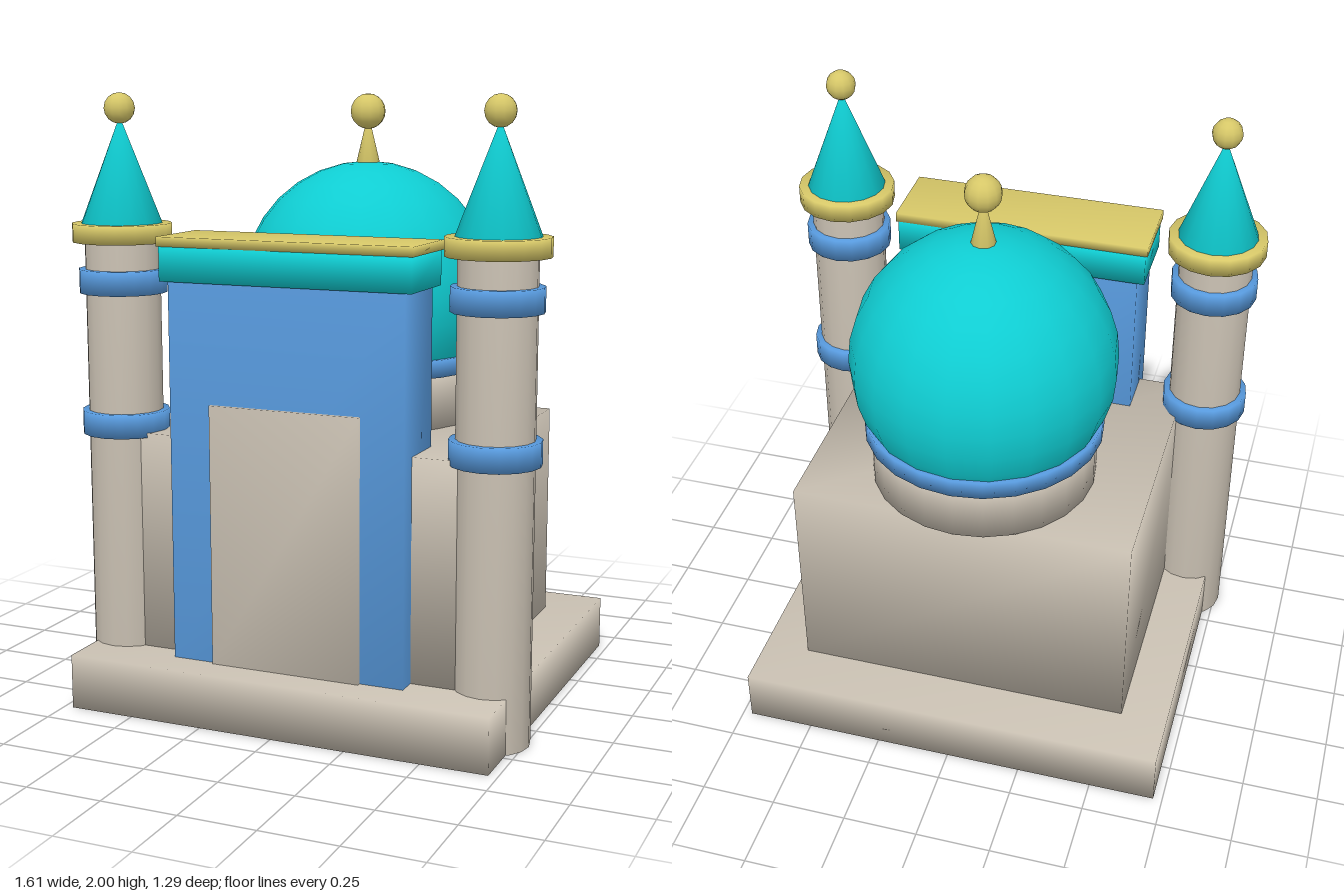
import * as THREE from 'three';
import { mergeVertices } from 'three/addons/utils/BufferGeometryUtils.js';

const paint = (name, color) => {
  const m = new THREE.MeshStandardMaterial({ color });
  m.name = name;
  return m;
};

// Weld all corners so that shading flows softly over the edges
function weld(geometry) {
  geometry.deleteAttribute('normal');
  geometry.deleteAttribute('uv');
  const g = mergeVertices(geometry, 1e-4);
  g.clearGroups();
  g.computeVertexNormals();
  return g;
}

export function createModel() {
  const stone = paint('stone', 0xc9c0b2);
  const teal = paint('teal', 0x0fcdd2);
  const blue = paint('blue', 0x5799dc);
  const gold = paint('gold', 0xd6c768);

  const add = (parent, name, geometry, material, x = 0, y = 0, z = 0) => {
    const mesh = new THREE.Mesh(weld(geometry), material);
    mesh.name = name;
    mesh.position.set(x, y, z);
    parent.add(mesh);
    return mesh;
  };
  // Box given by its half width and its y and z ranges
  const box = (parent, name, material, hx, y0, y1, z0, z1) =>
    add(parent, name, new THREE.BoxGeometry(hx * 2, y1 - y0, z1 - z0), material,
      0, (y0 + y1) / 2, (z0 + z1) / 2);
  // Upright round part given by its radii and y range
  const round = (parent, name, material, rTop, rBottom, y0, y1, sides) =>
    add(parent, name, new THREE.CylinderGeometry(rTop, rBottom, y1 - y0, sides), material,
      0, (y0 + y1) / 2, 0);
  const cone = (parent, name, material, r, y0, y1, sides) =>
    add(parent, name, new THREE.ConeGeometry(r, y1 - y0, sides), material, 0, (y0 + y1) / 2, 0);

  const model = new THREE.Group();
  model.name = 'domedShrine';

  // Plinth and main hall
  box(model, 'plinth', stone, 0.72, 0, 0.18, -0.645, 0.645);
  box(model, 'hall', stone, 0.565, 0.18, 0.905, -0.465, 0.46);

  // Entrance portal with its door panel running through
  const portal = new THREE.Group();
  portal.name = 'portal';
  box(portal, 'portalBlock', blue, 0.4, 0.18, 1.415, 0.29, 0.525);
  box(portal, 'doorPanel', stone, 0.255, 0.18, 1.03, 0.28, 0.538);
  box(portal, 'portalFrieze', teal, 0.425, 1.415, 1.525, 0.281, 0.537);
  box(portal, 'portalCornice', gold, 0.432, 1.525, 1.556, 0.278, 0.54);
  model.add(portal);

  // Drum, dome and finial
  const dome = new THREE.Group();
  dome.name = 'dome';
  dome.position.z = -0.158;
  round(dome, 'drum', stone, 0.372, 0.372, 0.905, 1.09, 24);
  round(dome, 'drumBand', blue, 0.393, 0.393, 1.08, 1.138, 24);
  add(dome, 'domeShell', new THREE.SphereGeometry(0.432, 20, 16), teal, 0, 1.338, 0);
  cone(dome, 'finialSpike', gold, 0.042, 1.755, 1.93, 10);
  add(dome, 'finialBall', new THREE.SphereGeometry(0.059, 12, 10), gold, 0, 1.936, 0);
  model.add(dome);

  // Pair of minarets
  for (const side of [-1, 1]) {
    const tower = new THREE.Group();
    tower.name = side > 0 ? 'leftMinaret' : 'rightMinaret';
    tower.position.set(side * 0.643, 0, 0.385);
    round(tower, 'shaft', stone, 0.123, 0.123, 0, 1.53, 16);
    round(tower, 'lowerBand', blue, 0.144, 0.144, 0.89, 0.968, 16);
    round(tower, 'upperBand', blue, 0.144, 0.144, 1.356, 1.434, 16);
    round(tower, 'balcony', gold, 0.163, 0.163, 1.522, 1.582, 16);
    cone(tower, 'roof', teal, 0.132, 1.582, 1.925, 16);
    add(tower, 'roofBall', new THREE.SphereGeometry(0.05, 12, 8), gold, 0, 1.95, 0);
    model.add(tower);
  }
  return model;
}
